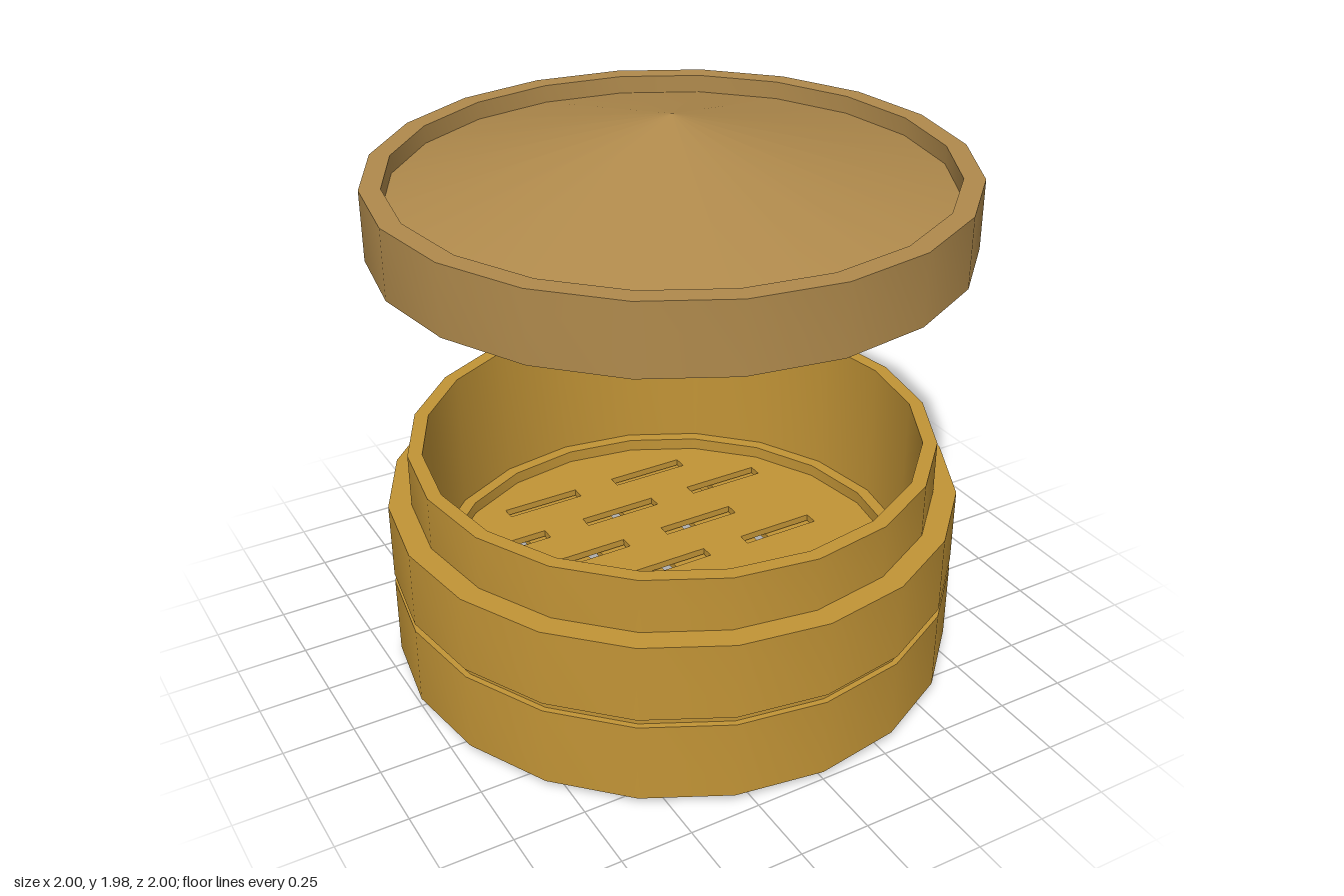
import * as THREE from 'three';
import { toCreasedNormals } from 'three/addons/utils/BufferGeometryUtils.js';

const SIDES = 20;
const basketMat = new THREE.MeshStandardMaterial({ color: 0xc29436 });
const lidMat = new THREE.MeshStandardMaterial({ color: 0xb08a4c });

function addMesh(parent, name, geometry, material) {
  const mesh = new THREE.Mesh(geometry, material);
  mesh.name = name;
  parent.add(mesh);
  return mesh;
}

// Closed ring turned from a profile that runs up the outside and down the inside
function turned(profile) {
  const points = [...profile, profile[0]].map(([r, y]) => new THREE.Vector2(r, y));
  return toCreasedNormals(new THREE.LatheGeometry(points, SIDES), Math.PI / 18 * 2.5);
}

const band = (inner, outer, y0, y1) =>
  turned([[inner, y0], [outer, y0], [outer, y1], [inner, y1]]);

// Thin round board with staggered rows of slots along x
function slottedDisc(radius, thickness) {
  const shape = new THREE.Shape();
  for (let i = 0; i < SIDES; i++) {
    const a = (i / SIDES) * Math.PI * 2;
    const p = [radius * Math.cos(a), radius * Math.sin(a)];
    if (i) shape.lineTo(...p); else shape.moveTo(...p);
  }
  shape.closePath();
  const length = 0.3, width = 0.05, pitch = 0.46;
  for (let row = -3; row <= 3; row++) {
    const y = row * 0.2;
    const shift = row % 2 ? pitch / 2 : 0;
    for (let k = -2; k <= 2; k++) {
      const x = k * pitch + shift;
      if (Math.hypot(Math.abs(x) + length / 2, Math.abs(y) + width / 2) > radius * 0.95) continue;
      const [l, r, b, t] = [x - length / 2, x + length / 2, y - width / 2, y + width / 2];
      shape.holes.push(new THREE.Path([[l, b], [l, t], [r, t], [r, b]]
        .map(([px, py]) => new THREE.Vector2(px, py))));
    }
  }
  return new THREE.ExtrudeGeometry(shape, { depth: thickness, bevelEnabled: false })
    .rotateX(-Math.PI / 2);
}

export function createModel() {
  const model = new THREE.Group();
  model.name = 'steamer';

  // Basket: wall with groove and stepped rim, support ring, crossed slotted floor
  const basket = new THREE.Group();
  basket.name = 'basket';
  model.add(basket);
  addMesh(basket, 'basketWall', turned([
    [0.87, 0], [1, 0.03], [1, 0.32], [0.98, 0.32], [0.98, 0.35], [1, 0.35],
    [1, 0.63], [0.92, 0.63], [0.92, 0.825], [0.87, 0.825],
  ]), basketMat);
  addMesh(basket, 'supportRing', band(0.825, 0.875, 0.16, 0.3), basketMat);
  const upper = addMesh(basket, 'upperFloor', slottedDisc(0.83, 0.025), basketMat);
  upper.position.y = 0.23;
  const lower = addMesh(basket, 'lowerFloor', slottedDisc(0.83, 0.025), basketMat);
  lower.position.y = 0.2;
  lower.rotation.y = Math.PI / 2;

  // Lid: rim band with a shallow cone set inside it
  const lid = new THREE.Group();
  lid.name = 'lid';
  model.add(lid);
  addMesh(lid, 'lidRim', band(0.93, 1, 1.56, 1.8), lidMat);
  const cone = addMesh(lid, 'lidTop', new THREE.ConeGeometry(0.93, 0.243, SIDES), lidMat);
  cone.position.y = 1.98 - 0.243 / 2;

  return model;
}
